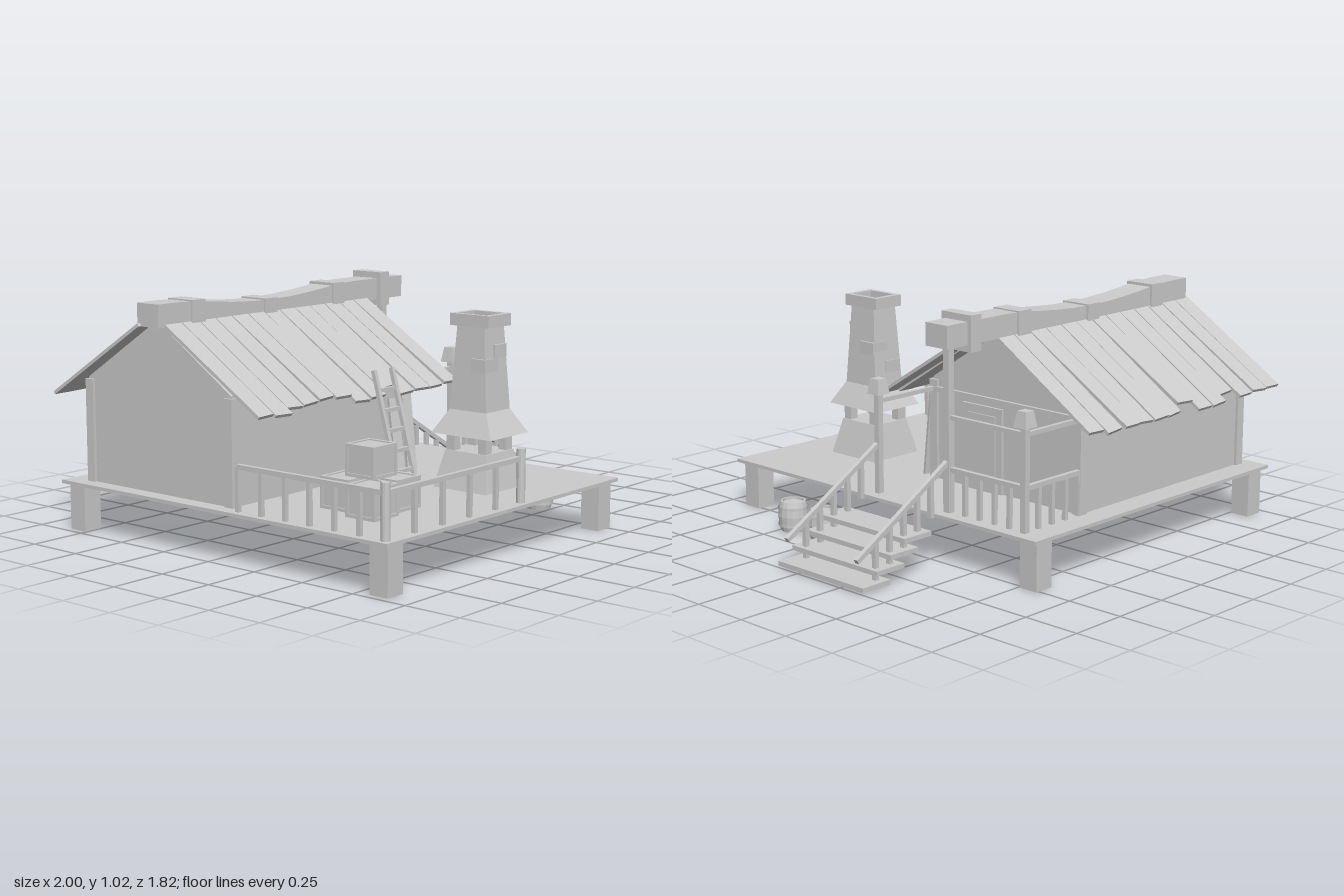
import * as THREE from 'three';

const mat = new THREE.MeshStandardMaterial({ color: 0xcccccc, flatShading: true, side: THREE.DoubleSide });

export function createModel() {
  const root = new THREE.Group();
  let seed = 7;
  const rnd = () => (seed = (seed * 16807) % 2147483647) / 2147483647;

  const add = (name, geo, x = 0, y = 0, z = 0, parent = root) => {
    const m = new THREE.Mesh(geo, mat);
    m.name = name;
    m.position.set(x, y, z);
    parent.add(m);
    return m;
  };
  const group = (name) => {
    const g = new THREE.Group();
    g.name = name;
    root.add(g);
    return g;
  };
  // box given by its minimum and maximum corners
  const box = (name, x0, x1, y0, y1, z0, z1, parent) =>
    add(name, new THREE.BoxGeometry(x1 - x0, y1 - y0, z1 - z0), (x0 + x1) / 2, (y0 + y1) / 2, (z0 + z1) / 2, parent);
  // box whose top has another size than its base
  const taper = (name, x, z, y0, y1, w, d, tw, td, parent) => {
    const geo = new THREE.BoxGeometry(1, y1 - y0, 1);
    const p = geo.attributes.position;
    for (let i = 0; i < p.count; i++) {
      const top = p.getY(i) > 0;
      p.setX(i, p.getX(i) * (top ? tw : w));
      p.setZ(i, p.getZ(i) * (top ? td : d));
    }
    geo.computeVertexNormals();
    return add(name, geo, x, (y0 + y1) / 2, z, parent);
  };
  // square bar between two points
  const bar = (name, a, b, w, parent, d = w) => {
    const A = new THREE.Vector3(...a), B = new THREE.Vector3(...b);
    const m = add(name, new THREE.BoxGeometry(w, d, A.distanceTo(B)), 0, 0, 0, parent);
    m.position.copy(A).lerp(B, 0.5);
    m.lookAt(B);
    return m;
  };
  const FLOOR = 0.215;

  // deck and legs
  box('deck', -1, 0.54, 0.2, FLOOR, -0.86, 0.915);
  for (const x of [-0.925, 0.47]) for (const z of [-0.8, 0.85])
    box('deckLeg', x - 0.044, x + 0.044, 0, 0.2, z - 0.044, z + 0.044);

  // house body with gable ends
  const gable = new THREE.Shape([[-0.07, FLOOR], [-0.07, 0.66], [0.34, 0.925], [0.75, 0.66], [0.75, FLOOR]]
    .map(([x, y]) => new THREE.Vector2(x, y)));
  const house = new THREE.ExtrudeGeometry(gable, { depth: 1.08, bevelEnabled: false });
  house.rotateY(Math.PI / 2);
  add('houseWalls', house, -0.93);
  for (const x of [-0.92, 0.14]) for (const z of [-0.74, 0.06])
    box('cornerPost', x - 0.022, x + 0.022, FLOOR, 0.65, z - 0.022, z + 0.022);
  box('wallBeam', 0.14, 0.165, 0.6, 0.62, -0.75, 0.07);
  const door = group('door');
  box('doorFrame', 0.14, 0.162, FLOOR, 0.58, -0.335, -0.11, door);
  box('doorLeaf', 0.15, 0.168, FLOOR, 0.545, -0.3, -0.145, door);

  // roof planks with uneven widths, lengths and ends
  const roof = group('roof');
  const planks = (x0, x1, count, zTop, yTop, zEnd, yEnd) => {
    const step = (x1 - x0) / count;
    const len = Math.hypot(zEnd - zTop, yTop - yEnd);
    for (let i = 0; i < count; i++) {
      const l = len * (1 - 0.09 * (rnd() > 0.65 ? rnd() : rnd() * 0.25));
      const geo = new THREE.BoxGeometry(step * 0.95, 0.014, l);
      geo.translate(0, 0, l / 2);
      const p = geo.attributes.position;
      const skew = (rnd() - 0.5) * 0.05, narrow = 0.9 + rnd() * 0.13;
      for (let k = 0; k < p.count; k++) if (p.getZ(k) > 0.1) {
        p.setZ(k, p.getZ(k) + p.getX(k) * skew * 4);
        p.setX(k, p.getX(k) * narrow);
      }
      geo.computeVertexNormals();
      const m = add('roofPlank', geo, x0 + step * (i + 0.5), yTop, zTop, roof);
      m.lookAt(m.position.x, yEnd + (rnd() - 0.3) * 0.02, zEnd);
    }
  };
  planks(-0.945, 0.31, 13, -0.3, 0.918, 0.23, 0.578);
  planks(-1, 0.255, 13, -0.38, 0.91, -0.905, 0.573);

  // sagging ridge beam with collars
  const sag = (x) => (x > -0.8 && x < 0.14 ? -0.035 * Math.sin(((x + 0.8) / 0.94) * Math.PI) : 0);
  const ridge = new THREE.BoxGeometry(1.53, 0.095, 0.12, 14, 1, 1);
  const rp = ridge.attributes.position;
  for (let i = 0; i < rp.count; i++) rp.setY(i, rp.getY(i) + sag(rp.getX(i) - 0.215));
  ridge.computeVertexNormals();
  add('ridgeBeam', ridge, -0.215, 0.95, -0.34);
  for (const [x, s] of [[-0.76, 0.11], [-0.33, 0.11], [0.105, 0.11]])
    add('ridgeCollar', new THREE.BoxGeometry(0.075, s, 0.14), x, 0.95 + sag(x), -0.34);
  box('ridgeEndCollar', 0.375, 0.435, 0.875, 1.025, -0.42, -0.257);

  // porch posts and beams
  const porch = group('porch');
  box('ridgePost', 0.465, 0.497, FLOOR, 0.91, -0.356, -0.324, porch);
  for (const z of [-0.75, 0.065]) {
    box('porchPost', 0.467, 0.493, FLOOR, 0.64, z - 0.013, z + 0.013, porch);
    taper('postCap', 0.48, z, 0.64, 0.705, 0.066, 0.066, 0.045, 0.045, porch);
    bar('porchBeam', [0.15, 0.61, z], [0.48, 0.61, z], 0.018, porch);
  }
  bar('porchBeam', [0.48, 0.61, -0.34], [0.48, 0.61, -0.75], 0.018, porch);

  // railings: top rail with evenly spaced balusters
  const railing = (a, b, n) => {
    const g = group('railing');
    bar('topRail', [a[0], 0.395, a[1]], [b[0], 0.395, b[1]], 0.02, g);
    for (let i = 0; i <= n; i++) {
      const x = a[0] + ((b[0] - a[0]) * i) / n, z = a[1] + ((b[1] - a[1]) * i) / n;
      box('baluster', x - 0.009, x + 0.009, FLOOR, 0.395, z - 0.009, z + 0.009, g);
    }
  };
  railing([-0.965, 0.88], [-0.965, 0.135], 6);
  railing([-0.965, 0.88], [-0.12, 0.88], 5);
  railing([0.16, -0.75], [0.48, -0.75], 4);
  railing([0.48, -0.35], [0.48, -0.75], 5);
  for (const x of [-0.965, -0.12])
    add('railEndPost', new THREE.CylinderGeometry(0.018, 0.018, 0.22, 12), x, FLOOR + 0.11, 0.88);

  // stairs with sloping handrails
  const stairs = group('stairs');
  for (let i = 0; i < 4; i++) {
    const x = 0.925 - i * 0.076, y = 0.018 + i * 0.049;
    box('tread', x - 0.075, x + 0.075, y - 0.01, y + 0.01, -0.38, 0.115, stairs);
  }
  for (const z of [-0.34, 0.065]) {
    bar('handrail', [0.49, 0.425, z], [0.995, 0.125, z], 0.02, stairs);
    for (let i = 0; i < 5; i++) {
      const x = 0.585 + i * 0.077;
      box('stairBaluster', x - 0.01, x + 0.01, Math.max(0.02, 0.212 - i * 0.049), 0.425 - (x - 0.49) * 0.594, z - 0.01, z + 0.01, stairs);
    }
  }

  // outdoor fireplace and chimney
  const chimney = group('chimney');
  const cx = 0.032, cz = 0.56;
  taper('hearthBase', cx, cz, FLOOR, 0.37, 0.27, 0.27, 0.19, 0.21, chimney);
  for (const sx of [-1, 1]) for (const sz of [-1, 1])
    add('hearthPillar', new THREE.BoxGeometry(0.04, 0.08, 0.04), cx + sx * 0.07, 0.405, cz + sz * 0.08, chimney);
  taper('hood', cx, cz, 0.44, 0.54, 0.26, 0.305, 0.165, 0.185, chimney);
  taper('shaft', cx, cz, 0.54, 0.89, 0.165, 0.185, 0.13, 0.14, chimney);
  const rect = (w, d) => [[-w, -d], [w, -d], [w, d], [-w, d]].map(([x, y]) => new THREE.Vector2(x, y));
  const capShape = new THREE.Shape(rect(0.077, 0.098));
  capShape.holes.push(new THREE.Path(rect(0.056, 0.073)));
  const cap = new THREE.ExtrudeGeometry(capShape, { depth: 0.05, bevelEnabled: false });
  cap.rotateX(-Math.PI / 2);
  add('chimneyCap', cap, cx, 0.887, cz, chimney);
  // raised stones on the shaft
  for (const [x, y, z, w, d] of [[0.06, 0.785, 0.59, 0.05, 0.11], [0.075, 0.71, 0.52, 0.06, 0.085],
    [-0.01, 0.73, 0.61, 0.06, 0.07], [0.0, 0.62, 0.5, 0.06, 0.06]])
    add('stone', new THREE.BoxGeometry(w + 0.03, 0.055, d), cx + (x - cx) * 0.9, y, z, chimney);

  // crates: raised frame around recessed faces
  const crate = (x, y, z) => {
    const g = group('crate');
    g.position.set(x, y, z);
    add('crateBody', new THREE.BoxGeometry(0.135, 0.12, 0.135), 0, 0.065, 0, g);
    for (const s of [-1, 1]) for (const t of [-1, 1]) {
      add('crateEdge', new THREE.BoxGeometry(0.147, 0.014, 0.014), 0, 0.065 + s * 0.058, t * 0.0665, g);
      add('crateEdge', new THREE.BoxGeometry(0.014, 0.014, 0.147), t * 0.0665, 0.065 + s * 0.058, 0, g);
      add('crateEdge', new THREE.BoxGeometry(0.014, 0.13, 0.014), s * 0.0665, 0.065, t * 0.0665, g);
    }
  };
  crate(-0.633, FLOOR, 0.405);
  crate(-0.69, FLOOR, 0.585);
  crate(-0.515, FLOOR, 0.555);
  crate(-0.575, FLOOR + 0.13, 0.485);

  // barrels
  const profile = [[0, 0.005], [0.054, 0.005], [0.062, 0.035], [0.065, 0.07], [0.062, 0.105], [0.054, 0.135], [0.046, 0.135], [0.046, 0.125], [0, 0.125]]
    .map(([x, y]) => new THREE.Vector2(x, y));
  for (const z of [0.26, 0.45]) {
    const g = group('barrel');
    g.position.set(0.622, 0, z);
    add('barrelBody', new THREE.LatheGeometry(profile, 16), 0, 0, 0, g);
    for (const y of [0.033, 0.107]) add('barrelHoop', new THREE.CylinderGeometry(0.065, 0.065, 0.012, 16, 1, true), 0, y, 0, g);
  }

  // ladder leaning on the eaves
  const ladder = group('ladder');
  for (const x of [-0.23, -0.115]) bar('ladderRail', [x, FLOOR, 0.345], [x, 0.695, 0.21], 0.018, ladder);
  for (let i = 0; i < 5; i++) {
    const t = 0.14 + i * 0.172;
    bar('rung', [-0.23, FLOOR + 0.48 * t, 0.345 - 0.135 * t], [-0.115, FLOOR + 0.48 * t, 0.345 - 0.135 * t], 0.016, ladder);
  }

  // loose boards leaning on the front wall
  for (const [x, h] of [[0.04, 0.53], [0.12, 0.6]])
    bar('leaningBoard', [x, FLOOR, 0.13], [x + 0.01, h, 0.08], 0.05, root, 0.012);

  return root;
}
